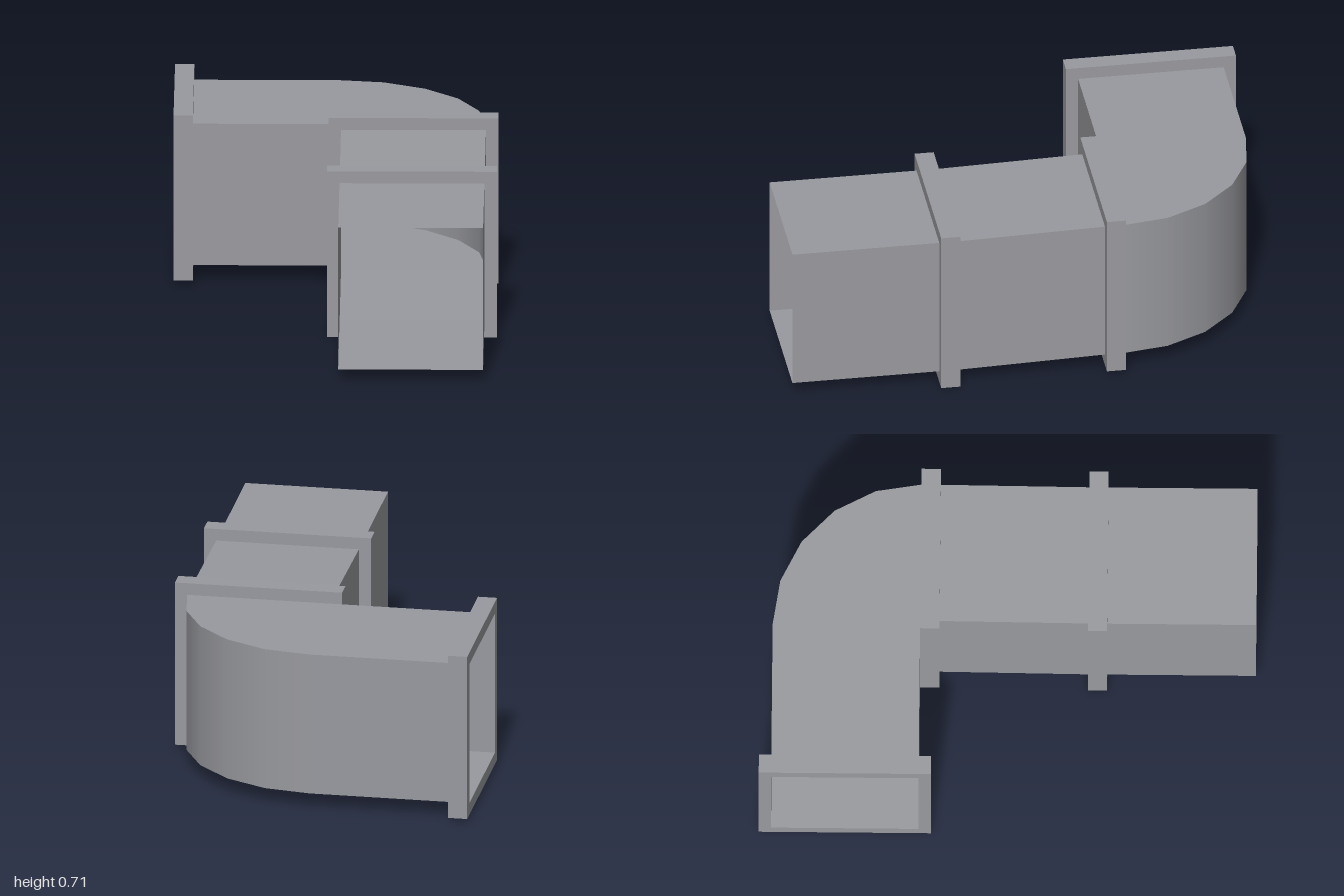
import * as THREE from 'three';

const ductGrey = new THREE.MeshStandardMaterial({ color: 0x999a9f, side: THREE.DoubleSide });
ductGrey.name = 'ductGrey';

const X0 = 0.02, X1 = 0.605;            // side walls of the straight run
const LOW = [0.05, 0.65], HIGH = [0.066, 0.664]; // floor and ceiling heights
const BACK = -0.95, BEND = -0.355, END = -0.578; // elbow limits
const LIP = 0.05, DEPTH = 0.078;        // flange rim and thickness

function part(name, geometry) {
  const mesh = new THREE.Mesh(geometry, ductGrey);
  mesh.name = name;
  return mesh;
}

// Open four-sided sheet duct between two heights along z
function straightDuct(name, zFront, [a0, a1], zBack, [b0, b1]) {
  const ring = (z, y0, y1) => [[X0, y0, z], [X1, y0, z], [X1, y1, z], [X0, y1, z]];
  const f = ring(zFront, a0, a1), b = ring(zBack, b0, b1);
  const pos = [];
  for (let i = 0; i < 4; i++) {
    const j = (i + 1) % 4;
    pos.push(...f[i], ...b[i], ...b[j], ...f[i], ...b[j], ...f[j]);
  }
  const g = new THREE.BufferGeometry();
  g.setAttribute('position', new THREE.Float32BufferAttribute(pos, 3));
  g.computeVertexNormals();
  return part(name, g);
}

// Rectangular ring extruded along z from z = 0
function flange(name, u0, u1, v0, v1) {
  const rect = (Type, a, b, c, d) => {
    const p = new Type();
    p.moveTo(a, c);
    p.lineTo(b, c);
    p.lineTo(b, d);
    p.lineTo(a, d);
    p.closePath();
    return p;
  };
  const s = rect(THREE.Shape, u0 - LIP, u1 + LIP, v0 - LIP, v1 + LIP);
  s.holes.push(rect(THREE.Path, u0, u1, v0, v1));
  return part(name, new THREE.ExtrudeGeometry(s, { depth: DEPTH, bevelEnabled: false }));
}

function createElbow() {
  const elbow = new THREE.Group();
  elbow.name = 'elbow';
  const [y0, y1] = HIGH, h = y1 - y0, mid = (y0 + y1) / 2;
  const rx = X1, rz = BEND - BACK;

  // Outer bend, five facets shaded smooth
  const bend = new THREE.CylinderGeometry(1, 1, h, 5, 1, true, Math.PI / 2, Math.PI / 2);
  bend.scale(rx, 1, rz);
  bend.translate(0, mid, BEND);
  elbow.add(part('outerBend', bend));

  // Flat back and inner walls
  const wall = (name, x0, x1, z, turn) => {
    const g = new THREE.PlaneGeometry(x1 - x0, h);
    g.rotateY(turn);
    g.translate((x0 + x1) / 2, mid, z);
    elbow.add(part(name, g));
  };
  wall('backWall', END, 0, BACK, Math.PI);
  wall('innerWall', END, X0, BEND, 0);

  // Floor and ceiling share one plan outline
  const plan = new THREE.Shape();
  plan.moveTo(END, -BEND);
  plan.lineTo(X1, -BEND);
  for (let i = 1; i <= 5; i++) {
    const a = (i / 5) * Math.PI / 2;
    plan.lineTo(rx * Math.cos(a), -BEND + rz * Math.sin(a));
  }
  plan.lineTo(END, -BACK);
  const sheet = (name, y, flip) => {
    const g = new THREE.ShapeGeometry(plan);
    g.rotateX(-Math.PI / 2);
    g.translate(0, y, 0);
    if (flip) {
      g.index.array.reverse();
      g.computeVertexNormals();
    }
    elbow.add(part(name, g));
  };
  sheet('ceiling', y1, false);
  sheet('floor', y0, true);
  return elbow;
}

export function createModel() {
  const model = new THREE.Group();
  model.name = 'ventilationDuct';

  // Straight run, with a slight rise in the middle section
  model.add(straightDuct('frontDuct', 1, LOW, 0.4, LOW));
  model.add(straightDuct('middleDuct', 0.4 - DEPTH, LOW, BEND + DEPTH, HIGH));
  model.add(createElbow());

  // Joining flanges
  const front = flange('frontFlange', X0, X1, ...LOW);
  front.position.z = 0.4 - DEPTH;
  const middle = flange('middleFlange', X0, X1, ...HIGH);
  middle.position.z = BEND;

  // End flange turned to face along x
  const end = flange('endFlange', BACK, BEND, ...HIGH);
  end.rotation.y = -Math.PI / 2;
  end.position.x = END;
  model.add(front, middle, end);
  return model;
}
